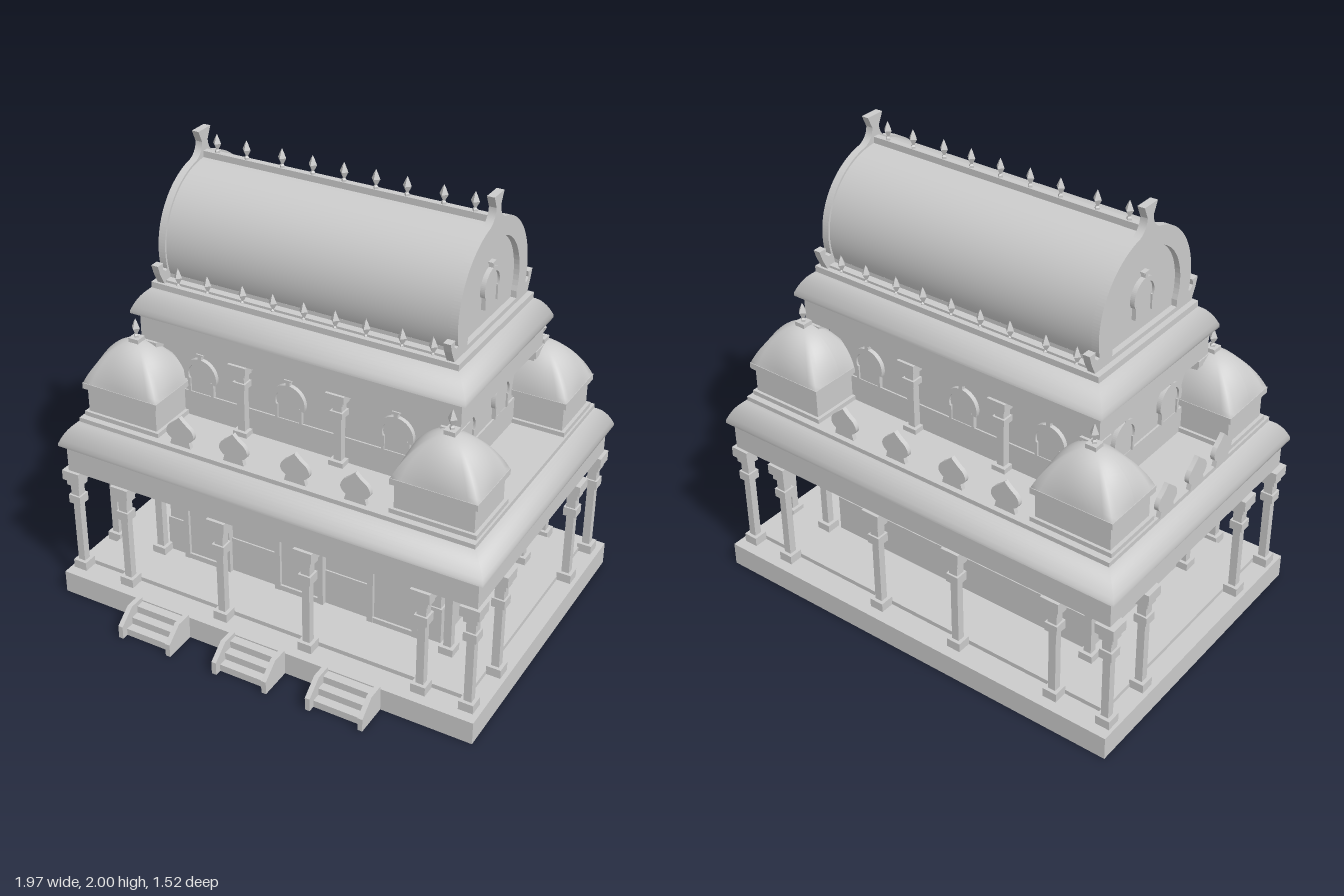
import * as THREE from 'three';

const mat = new THREE.MeshStandardMaterial({ color: 0xcccccc, side: THREE.DoubleSide });

function add(parent, geo, name, x = 0, y = 0, z = 0) {
  const m = new THREE.Mesh(geo, mat);
  m.name = name;
  m.position.set(x, y, z);
  parent.add(m);
  return m;
}

// box given by half extents and its lower and upper heights
function slab(parent, name, hx, hz, y0, y1, x = 0, z = 0) {
  return add(parent, new THREE.BoxGeometry(hx * 2, y1 - y0, hz * 2), name, x, (y0 + y1) / 2, z);
}

// hollow rectangular ring of beams
function frame(parent, name, hx, hz, t, y0, y1) {
  for (const k of [-1, 1]) {
    slab(parent, name, hx, t / 2, y0, y1, 0, k * (hz - t / 2));
    slab(parent, name, t / 2, hz - t, y0, y1, k * (hx - t / 2), 0);
  }
}

function group(parent, name, x = 0, y = 0, z = 0, turn = 0) {
  const g = new THREE.Group();
  g.name = name;
  g.position.set(x, y, z);
  g.rotation.y = turn;
  parent.add(g);
  return g;
}

function extrude(shape, depth) {
  return new THREE.ExtrudeGeometry(shape, { depth, bevelEnabled: false, curveSegments: 20 });
}

// four-sided roof skirt: rectangles that shrink inward along a shallow curve
function eaveGeometry(hx, hz, inset, y0, y1) {
  const pos = [], idx = [], n = 8, lip = 0.012, a0 = 0.75;
  const rings = [[0, y0]];
  for (let i = 0; i <= n; i++) {
    const a = a0 + (i / n) * (1.4 - a0);
    const u = (Math.cos(a0) - Math.cos(a)) / (Math.cos(a0) - Math.cos(1.4));
    const v = (Math.sin(a) - Math.sin(a0)) / (Math.sin(1.4) - Math.sin(a0));
    rings.push([inset * u, y0 + lip + (y1 - y0 - lip) * v]);
  }
  const corners = [[1, 1], [1, -1], [-1, -1], [-1, 1]];
  rings.forEach(([d, y], i) => {
    corners.forEach(([cx, cz], s) => {
      pos.push(cx * (hx - d), y, cz * (hz - d));
      const a = (i - 1) * 4 + s, b = (i - 1) * 4 + (s + 1) % 4;
      if (i) idx.push(a, b, b + 4, a, b + 4, a + 4);
    });
  });
  const g = new THREE.BufferGeometry();
  g.setAttribute('position', new THREE.Float32BufferAttribute(pos, 3));
  g.setIndex(idx);
  g.computeVertexNormals();
  return g;
}

// square column: footing, shaft, collar, neck, bracketed capital
function column(parent, name, x, z, y0, y1, w = 0.034) {
  const g = group(parent, name, x, 0, z), h = y1 - y0;
  const parts = [[0.95, 0, 0.08], [0.5, 0.08, 0.7], [0.85, 0.67, 0.75], [0.6, 0.75, 0.85], [0.9, 0.85, 0.91], [1.25, 0.91, 1]];
  for (const [r, a, b] of parts) slab(g, 'columnBlock', w * r, w * r, y0 + h * a, y0 + h * b);
}

// four-sided spindle finial
const finialProfile = [[0, 0], [0.6, 0], [0.6, 0.1], [0.3, 0.18], [1, 0.5], [0.45, 0.8], [0, 1]];
function finial(parent, name, x, y, z, h, r) {
  const pts = finialProfile.map(([a, b]) => new THREE.Vector2(a * r, b * h));
  const geo = new THREE.LatheGeometry(pts, 4).toNonIndexed();
  geo.computeVertexNormals();
  add(parent, geo, name, x, y, z);
}

// horseshoe-arched window facing local +z, standing on its sill
function archWindow(parent, x, y, z, turn, s = 1) {
  const g = group(parent, 'archedWindow', x, y, z, turn);
  g.scale.set(s, s, 1);
  const pane = new THREE.Shape();
  pane.moveTo(-0.06, 0).lineTo(0.06, 0).lineTo(0.06, 0.09);
  pane.absarc(0, 0.09, 0.06, 0, Math.PI, false);
  add(g, extrude(pane, 0.02), 'windowPane', 0, 0, -0.01);
  const hood = new THREE.Shape(), a = -0.35;
  hood.absarc(0, 0.085, 0.078, a, Math.PI - a, false);
  hood.absarc(0, 0.085, 0.058, Math.PI - a, a, true);
  add(g, extrude(hood, 0.03), 'windowHood', 0, 0, -0.01);
  slab(g, 'windowCrest', 0.009, 0.012, 0.158, 0.18, 0, 0.008);
  slab(g, 'windowCrestCap', 0.017, 0.012, 0.18, 0.187, 0, 0.008);
  for (const k of [-1, 1]) slab(g, 'windowJamb', 0.006, 0.01, 0, 0.065, k * 0.056, 0.008);
}

// dome on a square foot that turns round toward its top
function domeGeometry(hx, h, hz) {
  const end = 1.45, g = new THREE.SphereGeometry(1, 48, 14, 0, Math.PI * 2, 0, end);
  const p = g.attributes.position, low = Math.cos(end), wide = Math.sin(end);
  for (let i = 0; i < p.count; i++) {
    const x = p.getX(i) / wide, y = (p.getY(i) - low) / (1 - low), z = p.getZ(i) / wide;
    const m = Math.max(Math.abs(x), Math.abs(z)), r = Math.hypot(x, z);
    const k = m > 1e-6 ? 1 + (r / m - 1) * (1 - y) : 1;
    p.setXYZ(i, x * k * hx, y * h, z * k * hz);
  }
  g.computeVertexNormals();
  return g;
}

// spade-shaped parapet ornament
function merlon(parent, x, z, turn) {
  const s = new THREE.Shape();
  s.moveTo(-0.05, 0).lineTo(0.05, 0).lineTo(0.042, 0.03);
  s.quadraticCurveTo(0.085, 0.055, 0.05, 0.095).quadraticCurveTo(0.02, 0.115, 0, 0.138);
  s.quadraticCurveTo(-0.02, 0.115, -0.05, 0.095).quadraticCurveTo(-0.085, 0.055, -0.042, 0.03);
  add(group(parent, 'merlon', x, 0.862, z, turn), extrude(s, 0.02), 'merlonPlate', 0, 0, -0.01);
}

function steps(parent, x) {
  const g = group(parent, 'steps', x, 0, 0.685);
  for (let i = 0; i < 3; i++) slab(g, 'stepTread', 0.115, 0.06 - i * 0.02, i * 0.033, 0.033 * (i + 1), 0, 0.06 - i * 0.02);
  const cheek = new THREE.Shape();
  cheek.moveTo(0, 0).lineTo(0.15, 0).lineTo(0.15, 0.06).lineTo(0.075, 0.12).lineTo(0, 0.12);
  for (const k of [-1, 1]) add(g, extrude(cheek, 0.022), 'stepCheek', k * 0.12 + 0.011, 0, 0).rotation.y = -Math.PI / 2;
}

// door with raised frame and recessed leaf
function door(parent, x) {
  const g = group(parent, 'door', x, 0, 0.335);
  slab(g, 'doorLeaf', 0.09, 0.008, 0.125, 0.6);
  for (const k of [-1, 1]) slab(g, 'doorJamb', 0.013, 0.02, 0.125, 0.615, k * 0.105);
  slab(g, 'doorLintel', 0.118, 0.018, 0.598, 0.615);
  slab(g, 'doorSill', 0.118, 0.018, 0.125, 0.15);
}

// flat-bottomed horseshoe outline around the origin
const LOW = -0.35;
function horseshoe(path, r, bottom) {
  path.moveTo(-r * Math.cos(LOW), bottom).lineTo(r * Math.cos(LOW), bottom).lineTo(r * Math.cos(LOW), r * Math.sin(LOW));
  path.absarc(0, 0, r, LOW, Math.PI - LOW, false);
  return path;
}

function gable(parent, x, out) {
  const g = group(parent, 'gable', x, 1.58, 0, out * Math.PI / 2);
  const s = new THREE.Shape(), R = 0.312, t = 1.36;
  s.moveTo(-0.3, -0.13).lineTo(0.3, -0.13).lineTo(R * Math.cos(LOW), R * Math.sin(LOW));
  s.absarc(0, 0, R, LOW, t, false);
  s.quadraticCurveTo(0.022, 0.325, 0.02, 0.37).lineTo(0.043, 0.42).lineTo(-0.043, 0.42).lineTo(-0.02, 0.37);
  s.quadraticCurveTo(-0.022, 0.325, -R * Math.cos(t), R * Math.sin(t));
  s.absarc(0, 0, R, Math.PI - t, Math.PI - LOW, false);
  s.holes.push(horseshoe(new THREE.Path(), 0.235, -0.11));
  add(g, extrude(s, 0.032), 'gableRim', 0, 0, -0.016);
  add(g, extrude(horseshoe(new THREE.Shape(), 0.24, -0.115), 0.008), 'gablePanel', 0, 0, -0.016);
  archWindow(g, 0, -0.04, -0.008, 0, 0.98);
  // upturned scrolls at the foot
  for (const k of [-1, 1]) {
    const c = new THREE.Shape();
    c.moveTo(0.28, -0.13).lineTo(0.33, -0.13).lineTo(0.355, -0.08).lineTo(0.368, -0.04).lineTo(0.33, -0.04);
    c.lineTo(0.335, -0.065).lineTo(0.315, -0.08).lineTo(0.285, -0.07);
    add(g, extrude(c, 0.032), 'gableScroll', 0, 0, -0.016).scale.x = k;
  }
}

export function createModel() {
  const root = new THREE.Group();
  root.name = 'pavilionTemple';
  const b = group(root, 'building', 0, 0, -0.075);

  // plinth, hollow underneath, and steps
  frame(b, 'plinthWall', 0.987, 0.685, 0.02, 0, 0.105);
  slab(b, 'plinthDeck', 0.985, 0.683, 0.09, 0.105);
  slab(b, 'floor', 0.905, 0.575, 0.085, 0.125);
  for (const x of [-0.465, 0.005, 0.45]) steps(b, x);

  // ground storey
  slab(b, 'groundWall', 0.662, 0.326, 0.12, 0.84);
  slab(b, 'groundDado', 0.67, 0.333, 0.12, 0.295);
  for (const x of [-0.457, 0.007, 0.455]) {
    door(b, x);
    archWindow(b, x, 0.31, -0.325, Math.PI);
  }
  for (const k of [-1, 1]) for (const z of [0.18, -0.185]) archWindow(b, k * 0.662, 0.31, z, k * Math.PI / 2);
  for (const k of [-1, 1]) {
    for (const x of [-0.94, -0.69, -0.21, 0.2, 0.72, 0.93]) column(b, 'verandaColumn', x, k * 0.605, 0.105, 0.615);
    for (const z of [-0.36, 0.36]) {
      column(b, 'verandaColumn', k * 0.935, z, 0.105, 0.615);
      column(b, 'innerCornerColumn', 0.015 + k * 0.705, z, 0.12, 0.615);
    }
  }
  frame(b, 'lowerBeam', 0.957, 0.633, 0.06, 0.615, 0.742);
  add(b, eaveGeometry(0.982, 0.656, 0.07, 0.74, 0.845), 'lowerEave');
  frame(b, 'lowerEaveSoffit', 0.98, 0.654, 0.08, 0.74, 0.748);
  slab(b, 'terrace', 0.912, 0.586, 0.83, 0.865);

  // upper storey
  slab(b, 'upperWall', 0.662, 0.326, 0.86, 1.21);
  slab(b, 'upperDado', 0.67, 0.333, 0.86, 0.98);
  for (const k of [-1, 1]) {
    for (const x of [-0.46, -0.04, 0.445]) archWindow(b, x, 0.985, k * 0.325, k > 0 ? 0 : Math.PI);
    for (const z of [0.18, -0.14]) archWindow(b, k * 0.662, 0.985, z, k * Math.PI / 2);
    for (const x of [-0.68, -0.25, 0.2, 0.7]) column(b, 'upperColumn', x, k * 0.35, 0.86, 1.2);
  }
  slab(b, 'upperBeam', 0.728, 0.38, 1.2, 1.325, 0.01);
  add(b, eaveGeometry(0.755, 0.41, 0.07, 1.32, 1.425), 'upperEave', 0.01);
  slab(b, 'upperEaveSoffit', 0.753, 0.408, 1.32, 1.328, 0.01);
  slab(b, 'roofBase', 0.69, 0.342, 1.41, 1.45, 0.01);

  // parapet ornaments
  for (const k of [-1, 1]) for (const x of [-0.42, -0.165, 0.12, 0.39]) merlon(b, x, k * 0.553, 0);
  for (const z of [-0.205, 0.01, 0.2]) merlon(b, -0.908, z, Math.PI / 2);

  // corner kiosks
  for (const kx of [-1, 1]) for (const kz of [-1, 1]) {
    const g = group(b, 'cornerKiosk', kx * 0.718, 0, kz * 0.415);
    slab(g, 'kioskFoot', 0.185, 0.143, 0.86, 0.885);
    slab(g, 'kioskWall', 0.17, 0.13, 0.88, 1.0);
    slab(g, 'kioskEave', 0.185, 0.145, 0.995, 1.022);
    add(g, domeGeometry(0.183, 0.185, 0.143), 'kioskDome', 0, 1.02, 0);
    slab(g, 'kioskCap', 0.024, 0.024, 1.195, 1.22);
    finial(g, 'kioskFinial', 0, 1.22, 0, 0.085, 0.02);
  }

  // barrel roof
  const arc = Math.PI - 2 * LOW;
  const barrel = new THREE.CylinderGeometry(0.303, 0.303, 1.28, 56, 1, true, Math.PI / 2 - arc / 2, arc);
  add(b, barrel, 'barrelRoof', 0.01, 1.58, 0).rotation.set(0, 0, Math.PI / 2);
  slab(b, 'barrelFoot', 0.635, 0.285, 1.445, 1.477, 0.01);
  slab(b, 'barrelLedge', 0.645, 0.318, 1.445, 1.46, 0.01);
  slab(b, 'ridgeBar', 0.64, 0.014, 1.87, 1.91, 0.01);
  for (const x of [-0.565, -0.425, -0.26, -0.12, 0.02, 0.16, 0.295, 0.45, 0.58]) {
    finial(b, 'ridgeFinial', x, 1.91, 0, 0.08, 0.019);
    for (const k of [-1, 1]) finial(b, 'sideFinial', x, 1.445, k * 0.315, 0.08, 0.019);
  }
  gable(b, -0.64, -1);
  gable(b, 0.66, 1);
  return root;
}
